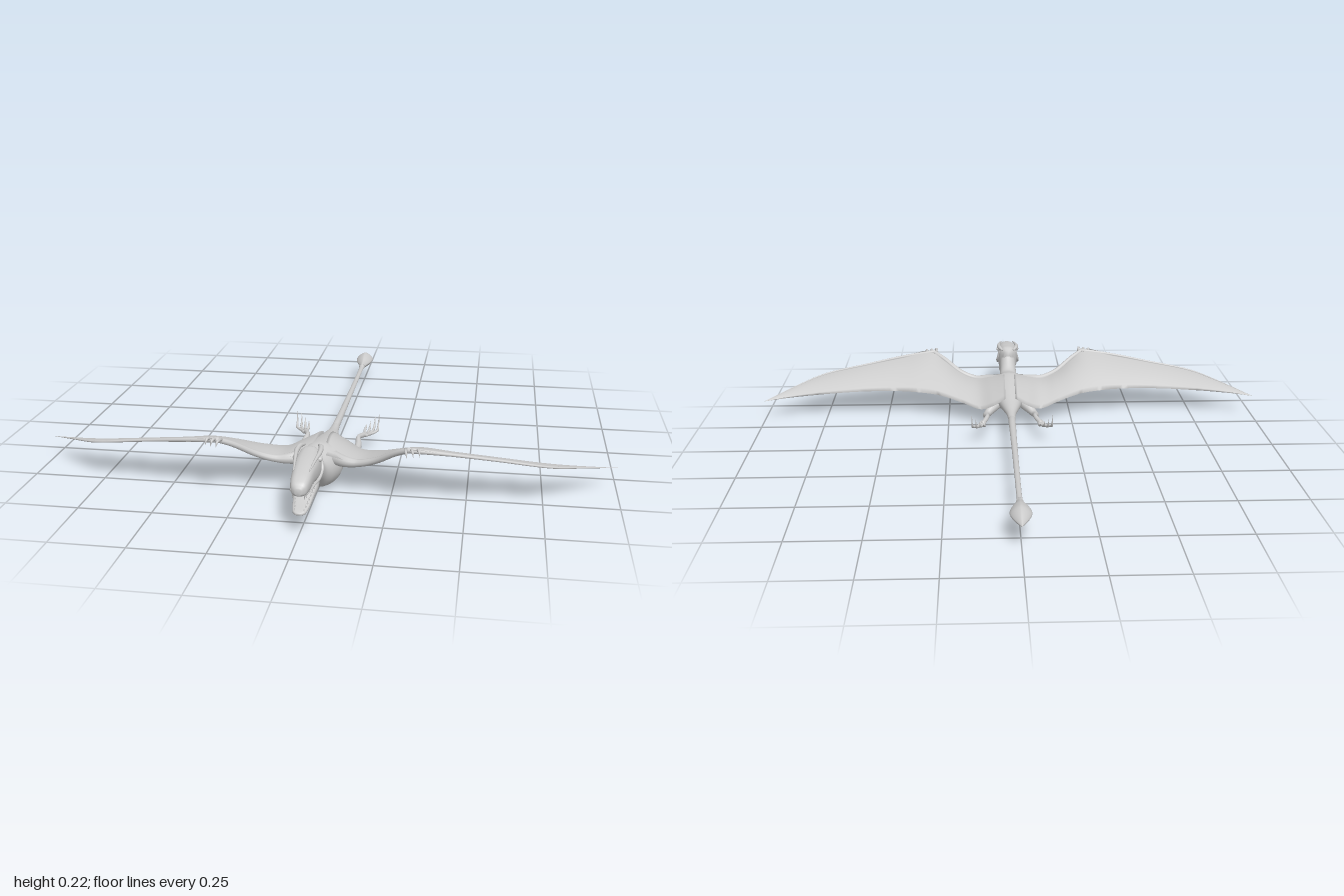
import * as THREE from 'three';

const V = (x, y, z) => new THREE.Vector3(x, y, z);
const material = new THREE.MeshStandardMaterial({ color: 0xcccccc });

// Skin closed rings of points into one smooth, capped, outward-facing surface
function skin(rings) {
  const n = rings[0].length, pos = [], idx = [];
  rings.forEach(r => r.forEach(p => pos.push(p.x, p.y, p.z)));
  for (let i = 0; i < rings.length - 1; i++) {
    for (let j = 0; j < n; j++) {
      const a = i * n + j, b = i * n + (j + 1) % n;
      idx.push(a, b, a + n, b, b + n, a + n);
    }
  }
  [0, rings.length - 1].forEach((r, end) => {
    const c = V(0, 0, 0);
    rings[r].forEach(p => c.addScaledVector(p, 1 / n));
    pos.push(c.x, c.y, c.z);
    for (let j = 0; j < n; j++) {
      const a = r * n + j, b = r * n + (j + 1) % n, m = pos.length / 3 - 1;
      if (end) idx.push(m, a, b); else idx.push(m, b, a);
    }
  });
  // Turn the surface outwards if its signed volume is negative
  const at = i => V(pos[3 * i], pos[3 * i + 1], pos[3 * i + 2]);
  let volume = 0;
  for (let i = 0; i < idx.length; i += 3) volume += at(idx[i]).dot(at(idx[i + 1]).cross(at(idx[i + 2])));
  if (volume < 0) idx.reverse();
  const g = new THREE.BufferGeometry();
  g.setAttribute('position', new THREE.Float32BufferAttribute(pos, 3));
  g.setIndex(idx);
  g.computeVertexNormals();
  return g;
}

// Loft along z through sections [z, top, bottom, halfWidth]; power < 1 squares the section
function loft(sections, power = 1, steps = 4, sides = 24) {
  const a = new THREE.CatmullRomCurve3(sections.map(s => V(s[0], s[1], s[2])), false, 'catmullrom', 0.4);
  const b = new THREE.CatmullRomCurve3(sections.map(s => V(s[3], 0, 0)), false, 'catmullrom', 0.4);
  const round = v => Math.sign(v) * Math.abs(v) ** power;
  const count = (sections.length - 1) * steps, rings = [];
  for (let i = 0; i <= count; i++) {
    const p = a.getPoint(i / count), w = Math.max(b.getPoint(i / count).x, 0.0005);
    rings.push(Array.from({ length: sides }, (_, j) => {
      const t = j / sides * Math.PI * 2;
      return V(w * round(Math.cos(t)), (p.y + p.z) / 2 + (p.y - p.z) / 2 * round(Math.sin(t)), p.x);
    }));
  }
  return skin(rings);
}

// Tapered limb through points [x, y, z, radius]; s mirrors it in x
function limb(points, s = 1, sides = 10, steps = 5) {
  const curve = new THREE.CatmullRomCurve3(points.map(p => V(p[0] * s, p[1], p[2])));
  const count = (points.length - 1) * steps, rings = [];
  for (let i = 0; i <= count; i++) {
    const u = i / count, k = Math.min(Math.floor(u * (points.length - 1)), points.length - 2);
    const r = THREE.MathUtils.lerp(points[k][3], points[k + 1][3], u * (points.length - 1) - k);
    const c = curve.getPoint(u), t = curve.getTangent(u);
    const e1 = V(0.35, 1, 0.2).cross(t).normalize(), e2 = t.clone().cross(e1);
    rings.push(Array.from({ length: sides }, (_, j) => {
      const q = j / sides * Math.PI * 2;
      return c.clone().addScaledVector(e1, r * Math.cos(q)).addScaledVector(e2, r * Math.sin(q));
    }));
  }
  return skin(rings);
}

// Paired leading and trailing edge points of the wing, root to tip
const LEAD = [[0.02, 0.135, 0.5], [0.08, 0.125, 0.508], [0.14, 0.115, 0.512], [0.2, 0.135, 0.528],
  [0.27, 0.18, 0.567], [0.32, 0.208, 0.6], [0.45, 0.19, 0.577], [0.6, 0.167, 0.546],
  [0.77, 0.138, 0.51], [0.89, 0.11, 0.425], [1, 0.08, 0.335]];
const TRAIL = [[0.02, 0.115, 0.235], [0.07, 0.085, 0.235], [0.12, 0.065, 0.255], [0.2, 0.08, 0.3],
  [0.29, 0.098, 0.338], [0.37, 0.103, 0.36], [0.47, 0.104, 0.378], [0.62, 0.1, 0.386],
  [0.78, 0.092, 0.378], [0.91, 0.085, 0.36], [1, 0.08, 0.335]];

function wingMembrane(s) {
  const curve = pts => new THREE.CatmullRomCurve3(pts.map(p => V(p[0] * s, p[1], p[2])));
  const lead = curve(LEAD), trail = curve(TRAIL), rings = [], n = 12;
  for (let i = 0; i <= 60; i++) {
    const u = i / 60, a = lead.getPoint(u), b = trail.getPoint(u), chord = a.distanceTo(b);
    const thick = 0.004 + 0.014 * Math.max(0, 1 - u * 4), ring = [];
    for (let j = 0; j < 2 * n; j++) {
      const f = j <= n ? j / n : 2 - j / n, side = j <= n ? 1 : -1;
      const p = a.clone().lerp(b, f);
      p.y += Math.sin(Math.PI * f) * (0.05 * chord + side * thick * Math.min(1, chord * 5));
      ring.push(p);
    }
    rings.push(ring);
  }
  return skin(rings);
}

export function createModel() {
  const model = new THREE.Group();
  const add = (name, geometry, parent = model) => {
    const mesh = new THREE.Mesh(geometry, material);
    mesh.name = name;
    parent.add(mesh);
    return mesh;
  };
  const group = (name, parent = model) => {
    const g = new THREE.Group();
    g.name = name;
    parent.add(g);
    return g;
  };

  // Neck, torso and tail base in one skin
  add('body', loft([[0.67, 0.19, 0.085, 0.028], [0.62, 0.195, 0.075, 0.034], [0.58, 0.165, 0.066, 0.034],
    [0.54, 0.138, 0.045, 0.04], [0.5, 0.142, 0.016, 0.06], [0.45, 0.155, 0.001, 0.077],
    [0.4, 0.151, 0.006, 0.077], [0.34, 0.14, 0.028, 0.064], [0.28, 0.126, 0.045, 0.05],
    [0.22, 0.112, 0.058, 0.035], [0.15, 0.1, 0.068, 0.019], [0.08, 0.096, 0.073, 0.013]]));
  add('tail', loft([[0.1, 0.097, 0.072, 0.014], [-0.2, 0.093, 0.074, 0.011], [-0.6, 0.091, 0.079, 0.009],
    [-0.66, 0.096, 0.074, 0.013]], 1, 4, 12));
  // Leaf-shaped tail vane with ridged edges
  add('tailVane', loft([[-0.64, 0.093, 0.077, 0.01], [-0.68, 0.102, 0.07, 0.016], [-0.72, 0.114, 0.063, 0.031],
    [-0.76, 0.119, 0.06, 0.036], [-0.795, 0.109, 0.067, 0.025], [-0.84, 0.087, 0.084, 0.001]], 1.4));

  // Deep skull with a flat top, open jaws
  const head = group('head');
  add('skull', loft([[0.597, 0.2, 0.145, 0.016], [0.625, 0.213, 0.11, 0.035], [0.66, 0.211, 0.103, 0.042],
    [0.7, 0.207, 0.118, 0.041], [0.75, 0.199, 0.127, 0.036], [0.8, 0.187, 0.126, 0.032],
    [0.83, 0.172, 0.128, 0.025], [0.842, 0.155, 0.135, 0.01]], 0.75), head);
  add('lowerJaw', loft([[0.63, 0.135, 0.08, 0.032], [0.69, 0.123, 0.08, 0.037], [0.74, 0.108, 0.079, 0.033],
    [0.79, 0.09, 0.071, 0.028], [0.825, 0.08, 0.064, 0.021], [0.838, 0.075, 0.067, 0.01]], 0.75), head);
  for (const s of [1, -1]) {
    add('browRidge', limb([[0.024, 0.208, 0.598, 0.004], [0.034, 0.211, 0.62, 0.008], [0.038, 0.209, 0.66, 0.008],
      [0.033, 0.204, 0.71, 0.005], [0.025, 0.192, 0.78, 0.002]], s), head);
    add('cheekRidge', limb([[0.035, 0.19, 0.635, 0.004], [0.043, 0.15, 0.65, 0.006], [0.04, 0.132, 0.69, 0.006],
      [0.035, 0.135, 0.75, 0.004], [0.03, 0.137, 0.81, 0.002]], s), head);
    add('eye', new THREE.SphereGeometry(0.009, 14, 10), head).position.set(0.039 * s, 0.19, 0.675);
    // Teeth along both jaws
    for (let i = 0; i < 7; i++) {
      const z = 0.73 + i * 0.0165, f = i / 6, h = 0.013 + 0.006 * f;
      const upper = add('upperTooth', new THREE.ConeGeometry(0.0035, h, 6), head);
      upper.position.set(s * (0.03 - 0.012 * f), 0.125, z);
      upper.rotation.x = Math.PI;
      add('lowerTooth', new THREE.ConeGeometry(0.003, 0.013, 6), head)
        .position.set(s * (0.029 - 0.014 * f), 0.116 - 0.035 * f, z - 0.004);
    }
  }

  for (const s of [1, -1]) {
    // Wing: membrane, arm, long wing finger and three clawed fingers
    const wing = group(s > 0 ? 'leftWing' : 'rightWing');
    add('membrane', wingMembrane(s), wing);
    add('arm', limb([[0.04, 0.115, 0.46, 0.025], [0.09, 0.112, 0.492, 0.02], [0.14, 0.113, 0.504, 0.013],
      [0.2, 0.134, 0.524, 0.011], [0.27, 0.18, 0.564, 0.01], [0.32, 0.206, 0.595, 0.009]], s), wing);
    add('wingFinger', limb([[0.31, 0.204, 0.592, 0.01], [0.45, 0.189, 0.574, 0.006], [0.6, 0.166, 0.543, 0.005],
      [0.77, 0.138, 0.507, 0.004], [0.89, 0.11, 0.423, 0.0025], [1, 0.08, 0.335, 0.0005]], s), wing);
    for (let i = 0; i < 3; i++) {
      const x = 0.303 + i * 0.02, tip = 0.632 - i * 0.008;
      add('handClaw', limb([[x, 0.205, 0.592, 0.006], [x + 0.002, 0.21, tip - 0.016, 0.005],
        [x + 0.005, 0.206, tip - 0.006, 0.004], [x + 0.008, 0.192, tip, 0.0005]], s, 8, 4), wing);
    }
    // Leg trailing backwards, with four spread clawed toes
    const leg = group(s > 0 ? 'leftLeg' : 'rightLeg');
    add('thighAndShin', limb([[0.035, 0.085, 0.31, 0.022], [0.07, 0.068, 0.27, 0.02], [0.095, 0.052, 0.235, 0.014],
      [0.099, 0.058, 0.2, 0.012], [0.094, 0.071, 0.16, 0.008], [0.1, 0.068, 0.135, 0.009],
      [0.114, 0.062, 0.1, 0.009]], s), leg);
    for (let i = 0; i < 4; i++) {
      const x = 0.108 + i * 0.015, up = 0.08 + i * 0.013, z = 0.03 + Math.abs(i - 2) * 0.006;
      add('toe', limb([[0.104 + i * 0.004, 0.064, 0.118, 0.006], [(x + 0.11) / 2, 0.059, 0.085, 0.005],
        [x - 0.002, 0.064, z + 0.03, 0.005], [x, 0.072, z + 0.012, 0.004], [x + 0.002, up, z, 0.0005]], s, 8, 4), leg);
    }
  }
  return model;
}
